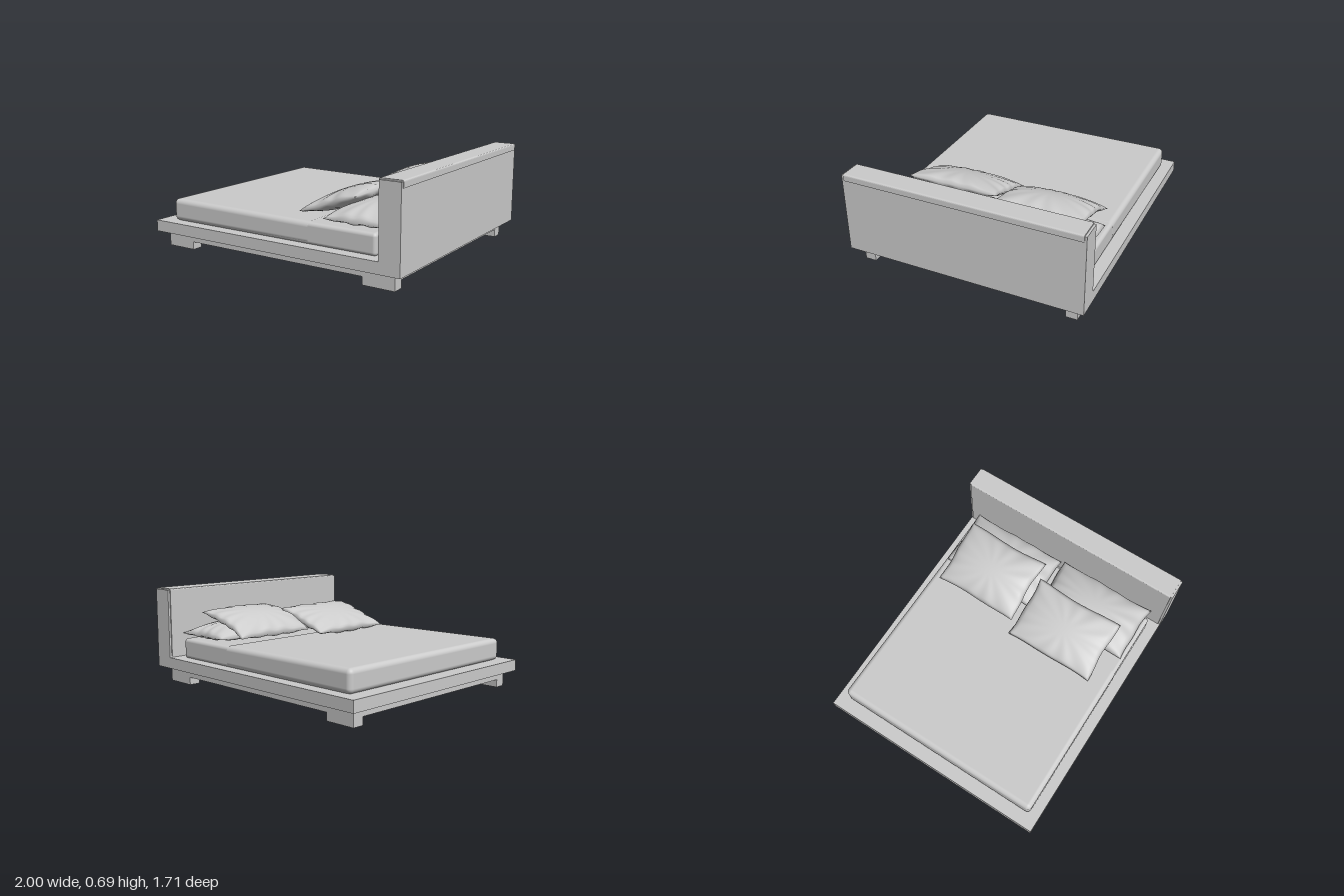
import * as THREE from 'three';
import { RoundedBoxGeometry } from 'three/addons/geometries/RoundedBoxGeometry.js';
import { mergeVertices } from 'three/addons/utils/BufferGeometryUtils.js';

const grey = new THREE.MeshStandardMaterial({ color: 0xcccccc });

function addMesh(parent, name, geometry) {
  const mesh = new THREE.Mesh(geometry, grey);
  mesh.name = name;
  parent.add(mesh);
  return mesh;
}

// Box given by its limits on each axis
function addBox(parent, name, [x0, x1], [y0, y1], [z0, z1], radius = 0) {
  const size = [x1 - x0, y1 - y0, z1 - z0];
  const geometry = radius
    ? new RoundedBoxGeometry(...size, 5, radius)
    : new THREE.BoxGeometry(...size);
  geometry.translate((x0 + x1) / 2, (y0 + y1) / 2, (z0 + z1) / 2);
  return addMesh(parent, name, geometry);
}

// Soft pillow: two domes meeting in a seam, with pinched sides, pointed corners and creases
function pillowGeometry({ width, length, up, down, bend, seed }) {
  const geometry = new THREE.BoxGeometry(2, 2, 2, 32, 1, 40);
  geometry.deleteAttribute('uv');
  geometry.deleteAttribute('normal');
  const p = geometry.attributes.position;
  for (let i = 0; i < p.count; i++) {
    const u = p.getX(i), v = p.getZ(i), top = p.getY(i) > 0;
    const dome = Math.pow(Math.max(0, (1 - u * u) * (1 - v * v)), 0.48);
    const angle = Math.atan2(v, u);
    const rim = Math.max(Math.abs(u), Math.abs(v));
    const crease = 0.005 * Math.sin(angle * 13 + seed + 2 * u) * rim * rim * Math.min(1, dome * 3);
    const x = width / 2 * u * (1 - 0.045 * (1 - v * v)) + 0.004 * Math.sin(4 * v + seed) * u * u;
    const z = length / 2 * v * (1 - 0.035 * (1 - u * u)) + 0.004 * Math.sin(5 * u + seed) * v * v;
    const y = (top ? up : -down) * dome + crease + bend * (1 - u * u);
    p.setXYZ(i, x, y, z);
  }
  const merged = mergeVertices(geometry, 1e-5);
  merged.computeVertexNormals();
  return merged;
}

export function createModel() {
  const bed = new THREE.Group();
  bed.name = 'bed';

  // Platform, recessed underframe and four block feet
  addBox(bed, 'platform', [-1, 0.99], [0.11, 0.19], [-0.855, 0.855]);
  addBox(bed, 'underframe', [-0.94, 0.92], [0.055, 0.115], [-0.79, 0.79]);
  for (const [end, x] of [['foot', [-0.94, -0.715]], ['head', [0.69, 0.92]]]) {
    addBox(bed, end + 'EndLeftFoot', x, [0, 0.06], [0.71, 0.79]);
    addBox(bed, end + 'EndRightFoot', x, [0, 0.06], [-0.79, -0.71]);
  }

  // Headboard with a cover running up the inside, over the top and down to a short back lip
  addBox(bed, 'headboard', [0.84, 0.99], [0.185, 0.685], [-0.855, 0.855]);
  const cover = new THREE.Shape();
  cover.moveTo(0.832, 0.2);
  cover.lineTo(0.85, 0.2);
  cover.lineTo(0.85, 0.68);
  cover.lineTo(0.98, 0.68);
  cover.lineTo(0.98, 0.647);
  cover.lineTo(0.996, 0.647);
  cover.lineTo(0.996, 0.682);
  cover.quadraticCurveTo(0.996, 0.694, 0.984, 0.694);
  cover.lineTo(0.844, 0.694);
  cover.quadraticCurveTo(0.832, 0.694, 0.832, 0.682);
  cover.closePath();
  const coverGeometry = new THREE.ExtrudeGeometry(cover, { depth: 1.68, bevelEnabled: false, curveSegments: 5 });
  coverGeometry.translate(0, 0, -0.84);
  addMesh(bed, 'headboardCover', coverGeometry);

  // Mattress
  addBox(bed, 'mattress', [-0.88, 0.775], [0.185, 0.332], [-0.773, 0.773], 0.025);

  // Bed cover, cut off square at x = 0.27 and sinking a little towards the head
  const bedCover = addBox(bed, 'bedCover', [-0.903, 0.35], [0.187, 0.345], [-0.78, 0.78], 0.035);
  const p = bedCover.geometry.attributes.position;
  for (let i = 0; i < p.count; i++) {
    const x = Math.min(p.getX(i), 0.27);
    const t = (x + 0.9) / 1.17;
    p.setX(i, x);
    if (p.getY(i) > 0.27) p.setY(i, p.getY(i) - 0.01 * t);
    p.setZ(i, p.getZ(i) * (1 - 0.005 * t));
  }

  // Two pillows lying flat, two more leaning on them
  const pillows = [
    { name: 'flatPillowRight', at: [0.585, 0.365, -0.382], width: 0.45, length: 0.75, up: 0.095, down: 0.04, bend: 0, tilt: 0, seed: 1 },
    { name: 'flatPillowLeft', at: [0.597, 0.365, 0.38], width: 0.45, length: 0.75, up: 0.1, down: 0.04, bend: 0, tilt: 0, seed: 2.3 },
    { name: 'leaningPillowRight', at: [0.42, 0.455, -0.385], width: 0.485, length: 0.64, up: 0.065, down: 0.06, bend: 0.025, tilt: 0.3, seed: 3.7 },
    { name: 'leaningPillowLeft', at: [0.32, 0.43, 0.3], width: 0.465, length: 0.68, up: 0.065, down: 0.065, bend: 0, tilt: 0.33, seed: 5 },
  ];
  for (const spec of pillows) {
    const pillow = addMesh(bed, spec.name, pillowGeometry(spec));
    pillow.position.set(...spec.at);
    pillow.rotation.z = spec.tilt;
  }
  return bed;
}
